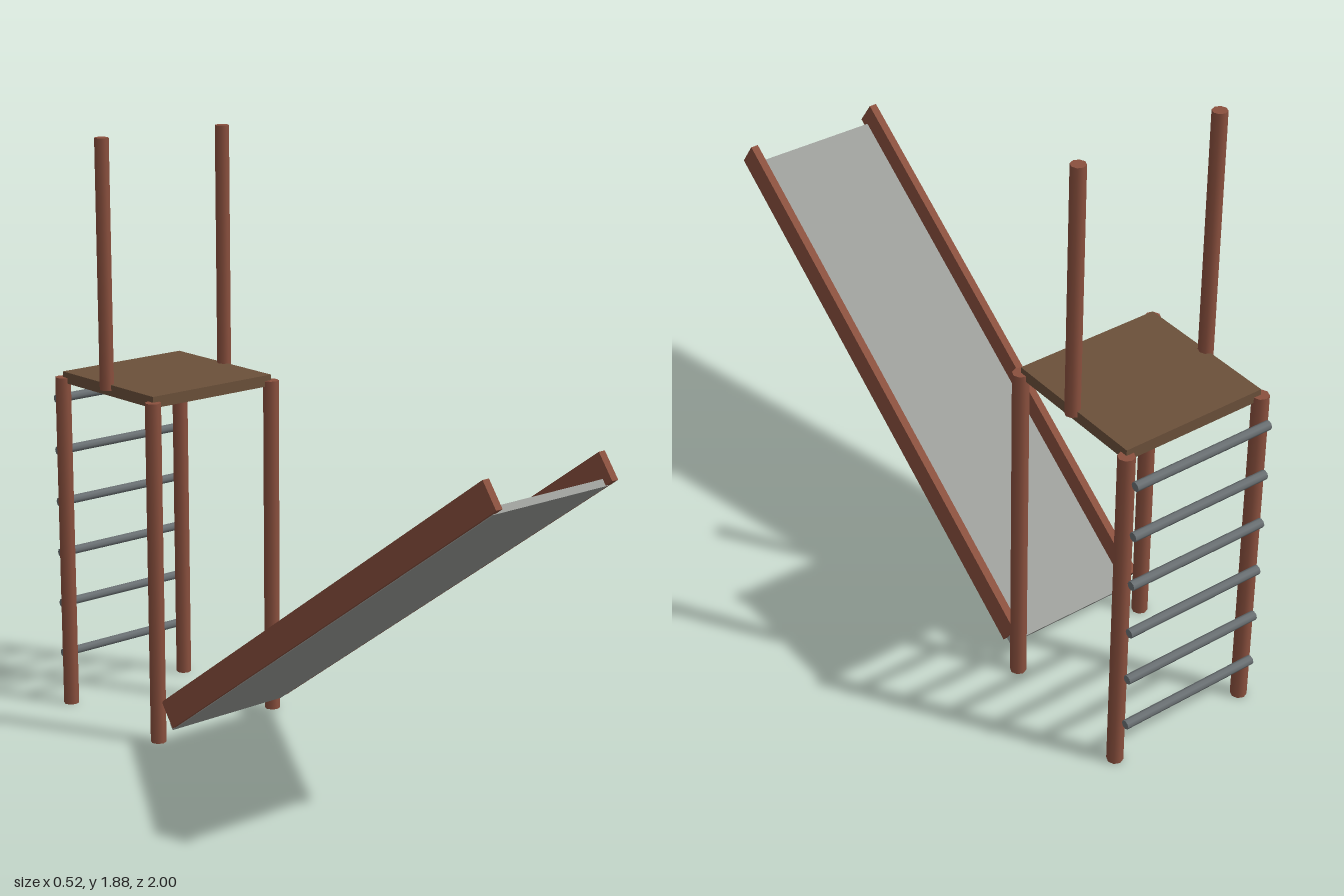
import * as THREE from 'three';

export function createModel() {
  const model = new THREE.Group();
  const material = (name, color) => {
    const m = new THREE.MeshStandardMaterial({ color });
    m.name = name;
    return m;
  };
  const redWood = material('red wood', 0x8a503e);
  const deckWood = material('deck wood', 0x6b503a);
  const sheetMetal = material('sheet metal', 0x9c9e9a);
  const rungMetal = material('rung metal', 0x6a7073);

  const add = (parent, name, geometry, mat, x, y, z) => {
    const mesh = new THREE.Mesh(geometry, mat);
    mesh.name = name;
    mesh.position.set(x, y, z);
    parent.add(mesh);
    return mesh;
  };
  const X = 0.235;

  // Platform on four legs, with two tall side posts
  add(model, 'deck', new THREE.BoxGeometry(0.47, 0.036, 0.47), deckWood, 0, 1.1, -0.71);
  const legShape = new THREE.CylinderGeometry(0.025, 0.025, 1.1, 8);
  const postShape = new THREE.CylinderGeometry(0.0225, 0.0225, 0.785, 8);
  for (const side of [-1, 1]) {
    const label = side > 0 ? 'left' : 'right';
    add(model, label + 'FrontLeg', legShape, redWood, side * X, 0.55, -0.475);
    add(model, label + 'BackLeg', legShape, redWood, side * X, 0.55, -0.945);
    add(model, label + 'Post', postShape, redWood, side * X, 1.4925, -0.71);
  }

  // Ladder rungs behind the back legs
  const ladder = new THREE.Group();
  ladder.name = 'ladder';
  const rungShape = new THREE.CylinderGeometry(0.0145, 0.0145, 0.47, 8).rotateZ(Math.PI / 2);
  for (let i = 0; i < 6; i++) {
    add(ladder, 'rung' + (i + 1), rungShape, rungMetal, 0, 0.161 + i * 0.172, -0.985);
  }
  model.add(ladder);

  // Sloping slide: metal sheet between two side rails
  const slide = new THREE.Group();
  slide.name = 'slide';
  slide.position.set(0, 0.607, 0.273);
  slide.rotation.x = -THREE.MathUtils.degToRad(35.8);
  const railShape = new THREE.BoxGeometry(0.024, 0.09, 1.728);
  add(slide, 'leftRail', railShape, redWood, 0.224, 0, 0);
  add(slide, 'rightRail', railShape, redWood, -0.224, 0, 0);
  add(slide, 'slideSheet', new THREE.BoxGeometry(0.445, 0.022, 1.721), sheetMetal, 0, -0.036, -0.0255);
  model.add(slide);

  return model;
}
